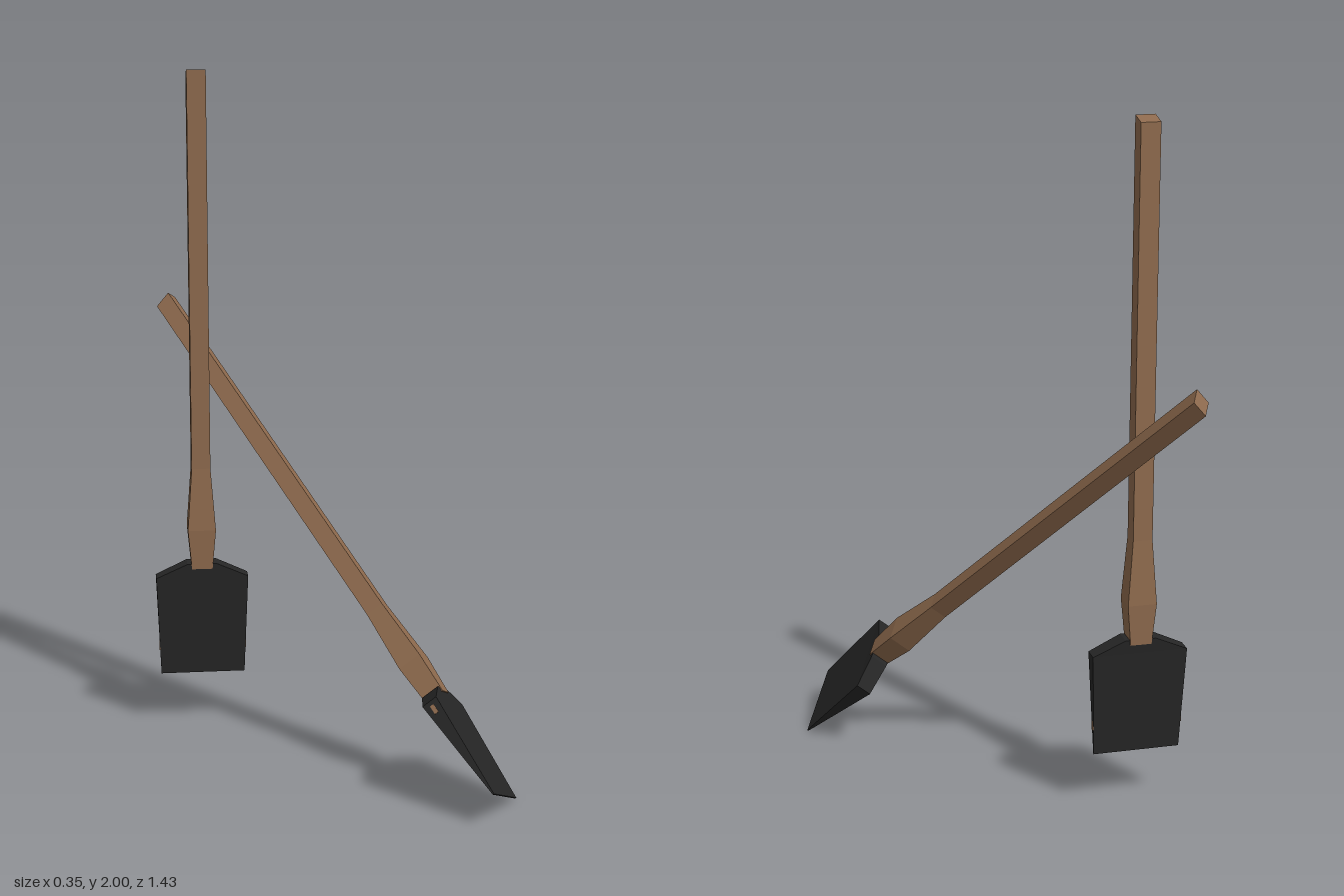
import * as THREE from 'three';

const wood = new THREE.MeshStandardMaterial({ color: 0x8f6b4e });
wood.name = 'brown wood';
const iron = new THREE.MeshStandardMaterial({ color: 0x262626 });
iron.name = 'dark iron';

// Faceted solid through rectangular sections [y, halfX, halfZ, slant]
function loft(sections) {
  const rings = sections.map(([y, hx, hz, slant = 0]) =>
    [[1, 1], [1, -1], [-1, -1], [-1, 1]].map(([sx, sz]) => [sx * hx, y + sz * slant, sz * hz]));
  const pos = [];
  const quad = (a, b, c, d) => pos.push(...a, ...b, ...c, ...a, ...c, ...d);
  for (let i = 0; i < rings.length - 1; i++) {
    for (let k = 0; k < 4; k++) {
      const n = (k + 1) % 4;
      quad(rings[i][k], rings[i][n], rings[i + 1][n], rings[i + 1][k]);
    }
  }
  const top = rings[rings.length - 1];
  quad(...top);
  quad(...rings[0].slice().reverse());
  const geo = new THREE.BufferGeometry();
  geo.setAttribute('position', new THREE.Float32BufferAttribute(pos, 3));
  geo.computeVertexNormals();
  return geo;
}

function part(name, geo, mat, parent) {
  const mesh = new THREE.Mesh(geo, mat);
  mesh.name = name;
  parent.add(mesh);
  return mesh;
}

// One tool standing on its cutting edge, blade width along local x
function makeTool(name, speckY, speckSides) {
  const tool = new THREE.Group();
  tool.name = name;

  // wedge blade: thin edge, thick shoulders, sloping up to a collar
  part('blade', loft([
    [0, 0.127, 0.002],
    [0.31, 0.139, 0.024],
    [0.353, 0.045, 0.028],
  ]), iron, tool);

  // square shaft with a swollen grip just above the blade
  part('handle', loft([
    [0.338, 0.031, 0.03],
    [0.46, 0.042, 0.036],
    [0.65, 0.028, 0.027],
    [1.828, 0.028, 0.026, 0.006],
  ]), wood, tool);

  // small wooden wedge ends showing on the narrow sides of the blade
  for (const s of speckSides) {
    const speck = part('wedgeEnd', new THREE.BoxGeometry(0.004, 0.026, 0.012), wood, tool);
    speck.position.set(s * (0.127 + 0.012 * speckY / 0.31), speckY, 0);
  }
  return tool;
}

// Place a tool by its edge centre, width direction and shaft direction
function place(tool, origin, width, shaft) {
  const y = new THREE.Vector3(...shaft).normalize();
  const z = new THREE.Vector3(...width).cross(y).normalize();
  const x = new THREE.Vector3().crossVectors(y, z);
  tool.quaternion.setFromRotationMatrix(new THREE.Matrix4().makeBasis(x, y, z));
  tool.position.set(...origin);
  return tool;
}

export function createModel() {
  const model = new THREE.Group();
  model.name = 'pairOfTools';
  model.add(place(makeTool('uprightTool', 0.09, [-1, 1]),
    [-0.055, 0.165, -0.455], [0.77, 0, 0.636], [0, 1, 0]));
  model.add(place(makeTool('leaningTool', 0.285, [-1]),
    [0.043, 0.056, 0.667], [0.837, -0.408, -0.37], [-0.005, 0.666, -0.746]));
  return model;
}
